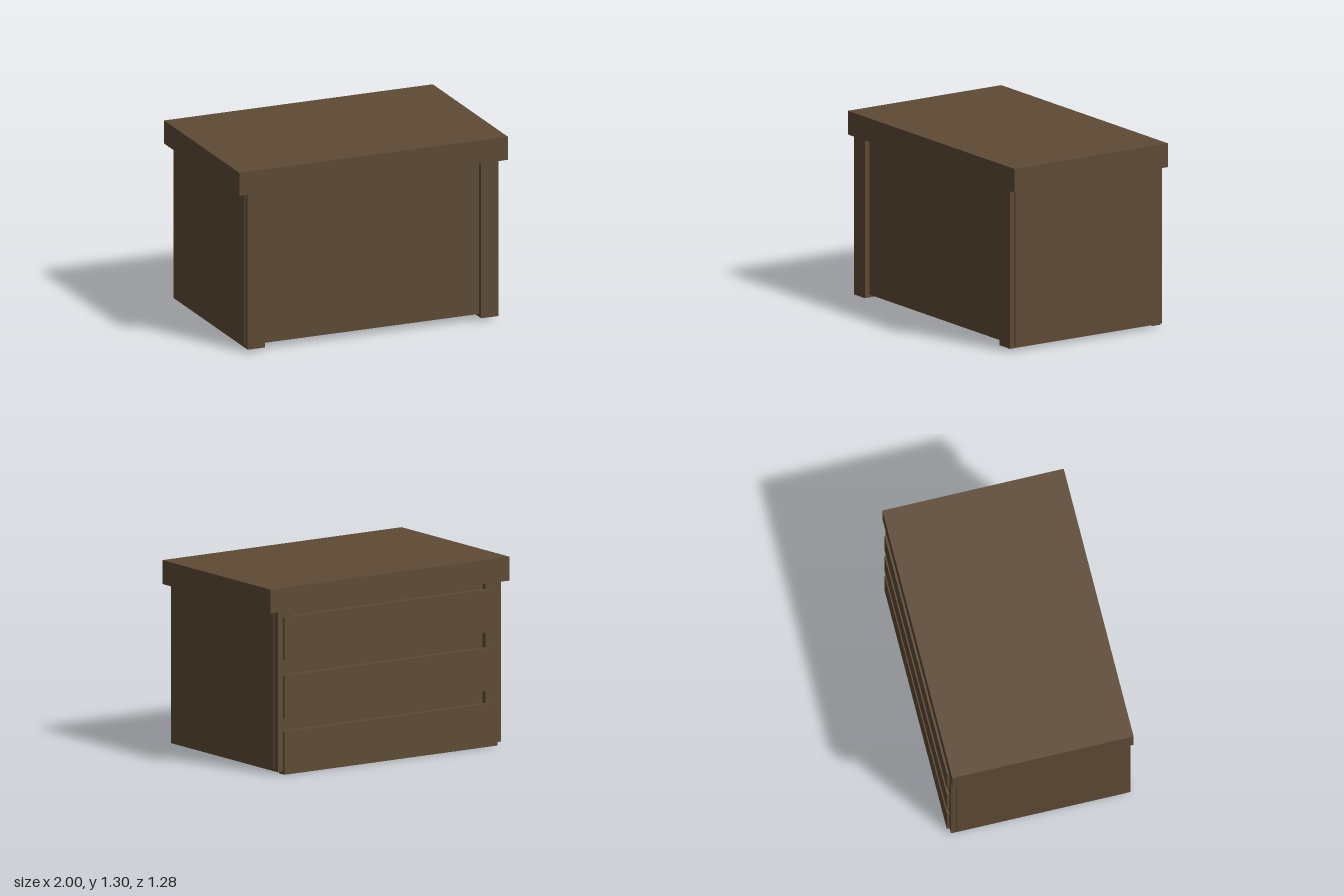
import * as THREE from 'three';

export function createModel() {
  const model = new THREE.Group();
  model.name = 'desk';
  const wood = new THREE.MeshStandardMaterial({ color: 0x5e4a35 });
  wood.name = 'brown wood';

  // Box given by its extents along each axis
  function board(name, [x0, x1], [y0, y1], [z0, z1]) {
    const mesh = new THREE.Mesh(new THREE.BoxGeometry(x1 - x0, y1 - y0, z1 - z0), wood);
    mesh.name = name;
    mesh.position.set((x0 + x1) / 2, (y0 + y1) / 2, (z0 + z1) / 2);
    model.add(mesh);
  }

  // Overhanging top and the main body, whose ends stand just proud of the side frames
  board('deskTop', [-1, 1], [1.132, 1.298], [-0.631, 0.642]);
  board('body', [-0.942, 0.942], [0.04, 1.132], [-0.587, 0.597]);

  // Side frames reaching past the body at front, back and bottom
  board('leftSideFrame', [0.805, 0.934], [0.02, 1.132], [-0.624, 0.635]);
  board('rightSideFrame', [-0.934, -0.805], [0.02, 1.132], [-0.624, 0.635]);

  // Drawer fronts across the back
  [[0, 0.298], [0.39, 0.686], [0.797, 1.092]].forEach((span, i) =>
    board(`drawerFront${i + 1}`, [-0.89, 0.89], span, [-0.642, -0.576]));

  return model;
}
